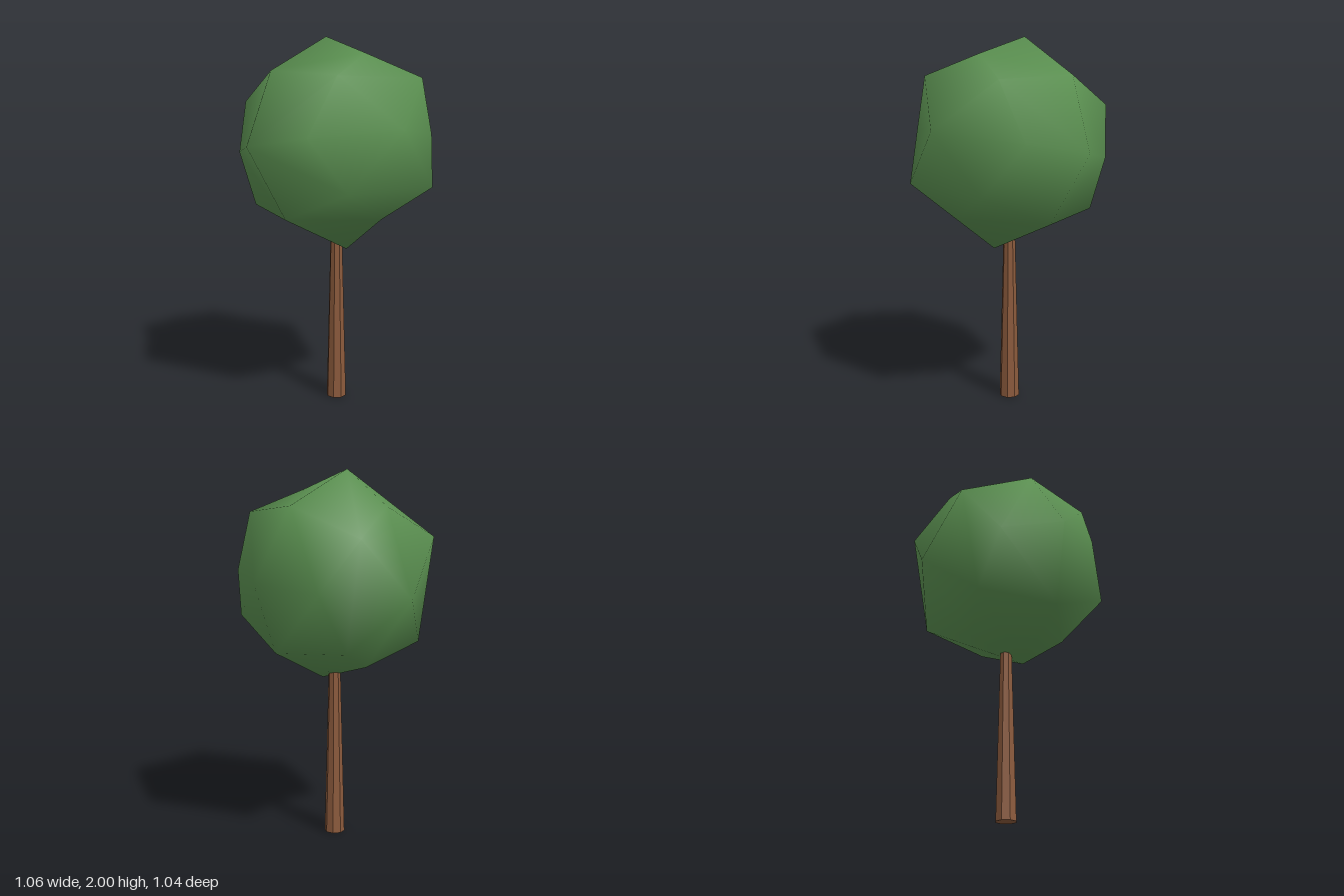
import * as THREE from 'three';
import { mergeVertices } from 'three/addons/utils/BufferGeometryUtils.js';

// Faceted crown: a 2x2x2 box pushed out to a rough ball, with its own
// radius for face centres, edge midpoints and corners.
function crownGeometry() {
  let geometry = new THREE.BoxGeometry(2, 2, 2, 2, 2, 2);
  geometry.deleteAttribute('normal');
  geometry.deleteAttribute('uv');
  geometry = mergeVertices(geometry);

  const radii = [0, 0.541, 0.574, 0.522];
  const position = geometry.attributes.position;
  const v = new THREE.Vector3();
  for (let i = 0; i < position.count; i++) {
    v.fromBufferAttribute(position, i);
    const kind = v.toArray().filter((c) => Math.abs(c) > 0.5).length;
    v.setLength(radii[kind]);
    position.setXYZ(i, v.x, v.y, v.z);
  }

  // Tilt of the crown
  const xAxis = new THREE.Vector3(0.5, -0.711, -0.495).normalize();
  const yAxis = new THREE.Vector3(-0.3125, -0.681, 0.663);
  const zAxis = new THREE.Vector3().crossVectors(xAxis, yAxis).normalize();
  yAxis.crossVectors(zAxis, xAxis);
  geometry.applyMatrix4(new THREE.Matrix4().makeBasis(xAxis, yAxis, zAxis));
  geometry.computeVertexNormals();
  return geometry;
}

export function createModel() {
  const leafGreen = new THREE.MeshStandardMaterial({ color: 0x5a8f50 });
  leafGreen.name = 'leafGreen';
  const barkBrown = new THREE.MeshStandardMaterial({ color: 0x8b5a3c });
  barkBrown.name = 'barkBrown';
  barkBrown.flatShading = true;

  const tree = new THREE.Group();
  tree.name = 'tree';

  // Tapered trunk, running a little way into the crown
  const trunkHeight = 1;
  const trunk = new THREE.Mesh(new THREE.CylinderGeometry(0.031, 0.056, trunkHeight, 8), barkBrown);
  trunk.name = 'trunk';
  trunk.position.y = trunkHeight / 2;

  const crown = new THREE.Mesh(crownGeometry(), leafGreen);
  crown.name = 'crown';
  crown.position.y = 1.435;

  tree.add(trunk, crown);
  return tree;
}
